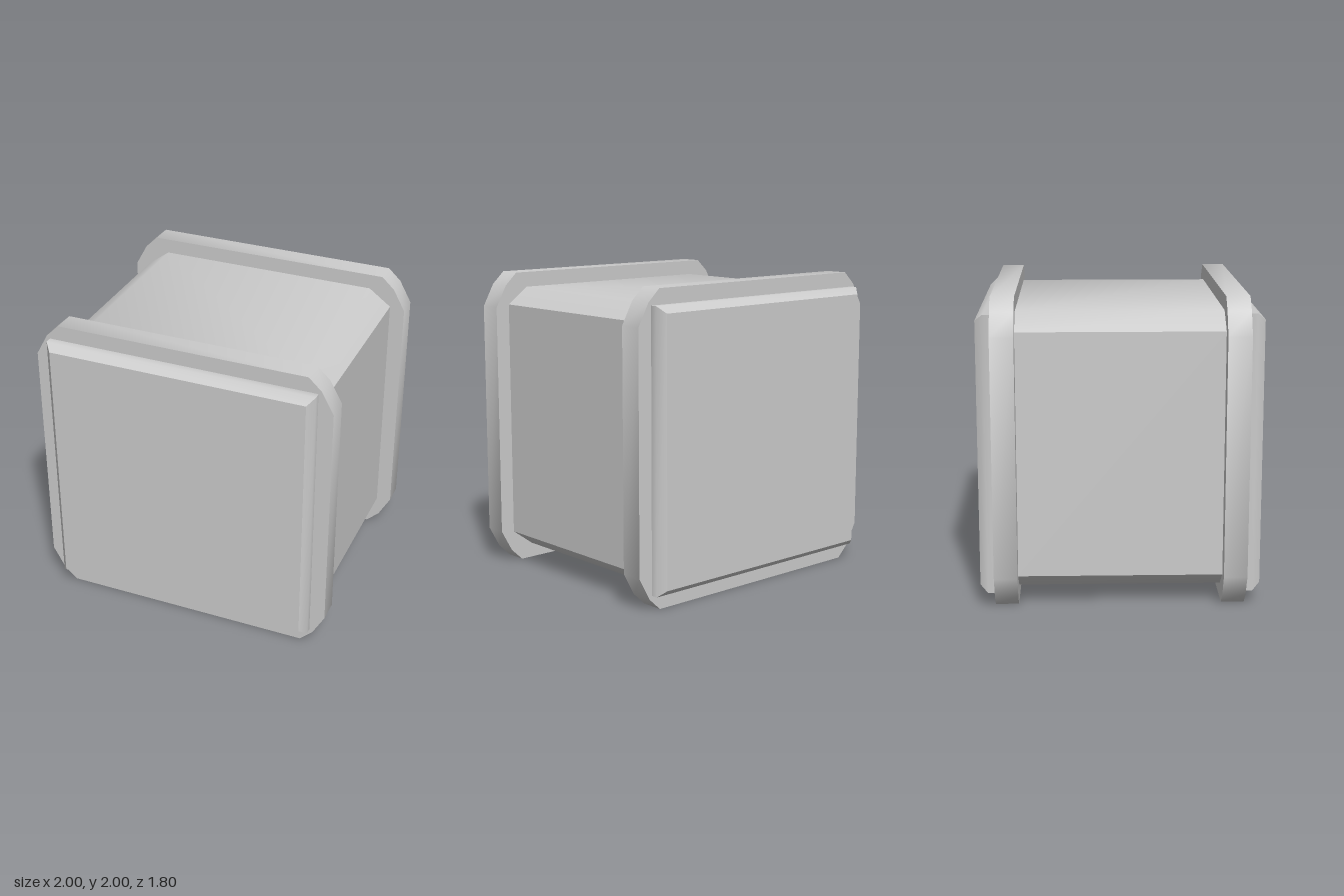
import * as THREE from 'three';
import { toCreasedNormals } from 'three/addons/utils/BufferGeometryUtils.js';

const material = new THREE.MeshStandardMaterial({ color: 0xcccccc });

// Mirror one corner (listed from the right side to the top) into a full outline
function outline(corner) {
  const flip = (sx, sy) => corner.map(([x, y]) => new THREE.Vector2(x * sx, y * sy));
  return new THREE.Shape([
    ...flip(1, 1),
    ...flip(-1, 1).reverse(),
    ...flip(-1, -1),
    ...flip(1, -1).reverse(),
  ]);
}

// Extrude an outline along z, centred on z, with an optional inward bevel
function slab(name, shape, length, z, bevel = 0) {
  const depth = length - 2 * bevel;
  const geometry = new THREE.ExtrudeGeometry(shape, {
    depth,
    bevelEnabled: bevel > 0,
    bevelSegments: 1,
    bevelThickness: bevel,
    bevelSize: 0.043,
    bevelOffset: -0.043,
  });
  geometry.translate(0, 1, -depth / 2);
  const mesh = new THREE.Mesh(toCreasedNormals(geometry, Math.PI / 4), material);
  mesh.name = name;
  mesh.position.z = z;
  return mesh;
}

export function createModel() {
  const group = new THREE.Group();
  group.name = 'crate';

  // Central body with cut corners
  const body = outline([[0.9, 0.79], [0.75, 0.9]]);
  group.add(slab('body', body, 1.32, 0));

  // A protruding rim and a bevelled square end at the front and back
  const rim = outline([[1, 0.775], [0.92, 0.92], [0.835, 1]]);
  const end = outline([[0.9, 0.9]]);
  for (const [label, side] of [['front', 1], ['back', -1]]) {
    group.add(slab(label + 'Rim', rim, 0.15, side * 0.73));
    group.add(slab(label + 'EndPanel', end, 0.2, side * 0.8, 0.05));
  }
  return group;
}
